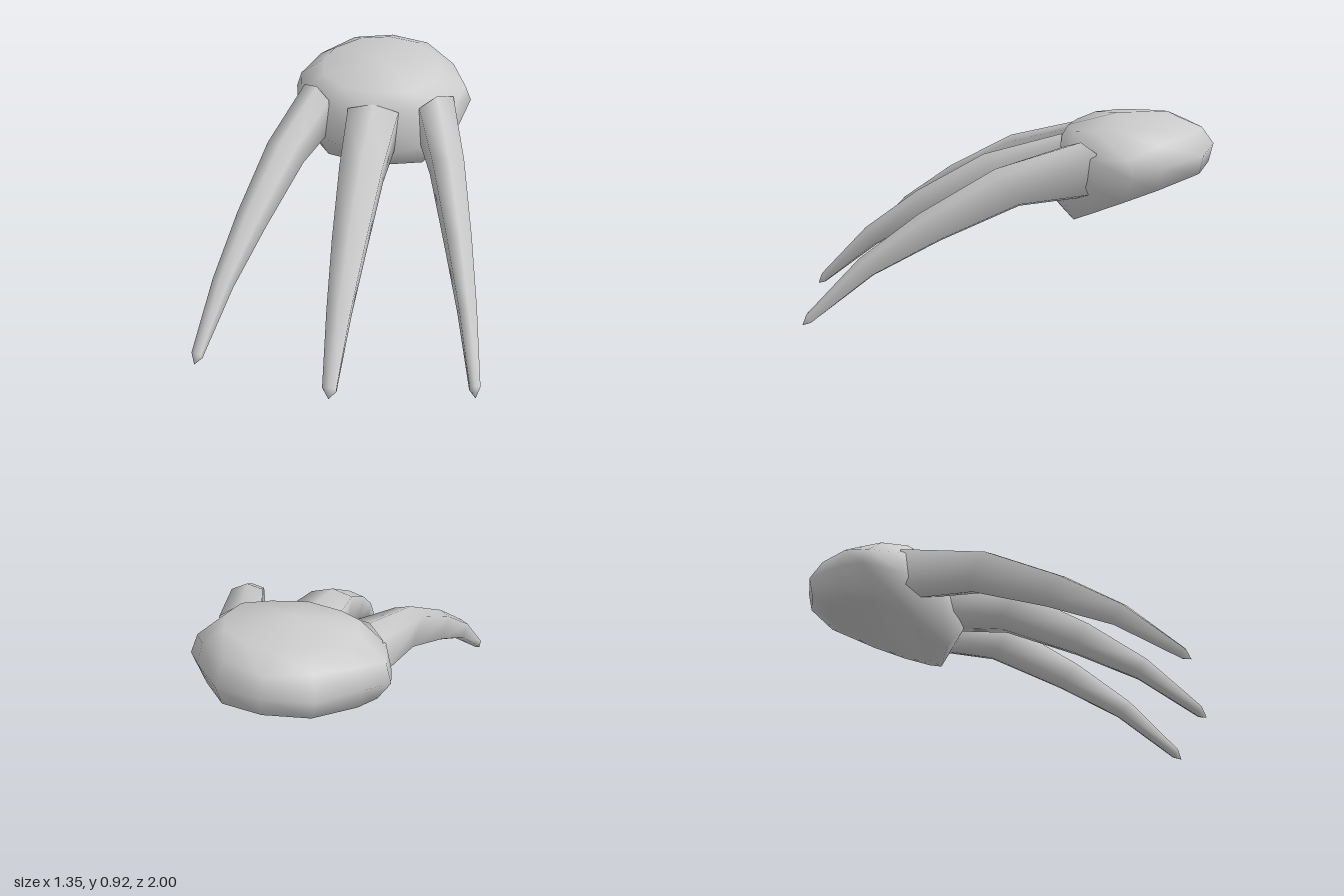
import * as THREE from 'three';

const material = new THREE.MeshStandardMaterial({ color: 0xcccccc, side: THREE.DoubleSide });

// Skin closed rings of [x, y, z] points, with optional fan caps at either end.
function loft(rings, start, end) {
  const n = rings[0].length;
  const points = rings.flat();
  const index = [];
  for (let i = 0; i < rings.length - 1; i++) {
    for (let j = 0; j < n; j++) {
      const a = i * n + j, b = i * n + (j + 1) % n;
      index.push(a, b, a + n, b, b + n, a + n);
    }
  }
  if (start) {
    const c = points.push(start) - 1;
    for (let j = 0; j < n; j++) index.push(c, (j + 1) % n, j);
  }
  if (end) {
    const c = points.push(end) - 1, o = (rings.length - 1) * n;
    for (let j = 0; j < n; j++) index.push(o + j, o + (j + 1) % n, c);
  }
  const geometry = new THREE.BufferGeometry();
  geometry.setAttribute('position', new THREE.Float32BufferAttribute(points.flat(), 3));
  geometry.setIndex(index);
  geometry.computeVertexNormals();
  return geometry;
}

// Complete a half ring (back to front along +x) with its mirror image.
const mirrorRing = (half) => [...half, ...half.slice(1, -1).reverse().map(([x, y, z]) => [-x, y, z])];

function createPalm() {
  const crown = [[0, 0.91, -0.82], [0.15, 0.91, -0.78], [0.27, 0.895, -0.68], [0.31, 0.89, -0.55],
    [0.28, 0.88, -0.42], [0.17, 0.86, -0.33], [0, 0.86, -0.29]];
  const shoulder = [[0, 0.86, -0.94], [0.2, 0.86, -0.88], [0.36, 0.83, -0.72], [0.44, 0.78, -0.58],
    [0.4, 0.77, -0.41], [0.23, 0.76, -0.28], [0, 0.74, -0.22]];
  const middle = [[0, 0.78, -1], [0.22, 0.76, -0.935], [0.38, 0.73, -0.74], [0.47, 0.69, -0.6],
    [0.43, 0.65, -0.42], [0.25, 0.59, -0.25], [0, 0.55, -0.17]];
  const rim = [[0, 0.69, -0.98], [0.2, 0.67, -0.92], [0.35, 0.62, -0.72], [0.4, 0.57, -0.56],
    [0.35, 0.5, -0.41], [0.25, 0.445, -0.33], [0, 0.445, -0.26]];
  // Shallow dish underneath
  const dish = [0, 0.61, -0.61];
  const inner = [0.2, 0.6].map((t) => rim.map(([x, y, z]) => [
    x * (1 - t), y + (dish[1] - y) * t + (t < 0.5 ? -0.015 : 0), z + (dish[2] - z) * t]));
  const rings = [crown, shoulder, middle, rim, ...inner].map(mirrorRing);
  const palm = new THREE.Mesh(loft(rings, [0, 0.925, -0.53], dish), material);
  palm.name = 'palm';
  return palm;
}

// Hexagonal tapering finger; skew slants the base to follow the palm.
function createFinger(name, widthScale, skew) {
  // top z, top y, bottom z, bottom y, half width
  const stations = [
    [0, 0.815, 0, 0.55, 0.13],
    [0.39, 0.705, 0.28, 0.525, 0.105],
    [0.73, 0.51, 0.64, 0.375, 0.08],
    [1.0, 0.31, 0.94, 0.225, 0.056],
    [1.24, 0.055, 1.22, 0.013, 0.033],
  ];
  const section = [[0, 1], [-1, 0.87], [-0.94, 0.14], [0, 0], [0.94, 0.14], [1, 0.87]];
  const rings = stations.map(([tz, ty, bz, by, w], i) => section.map(([u, v]) => {
    const x = u * w * widthScale;
    return [x, by + (ty - by) * v, bz + (tz - bz) * v + (i === 0 ? skew * x : 0)];
  }));
  const finger = new THREE.Mesh(loft(rings, null, [0, 0.002, 1.26]), material);
  finger.name = name;
  return finger;
}

export function createModel() {
  const model = new THREE.Group();
  model.name = 'claw';
  model.add(createPalm());

  const middle = createFinger('middleFinger', 1, 0);
  middle.position.z = -0.26;
  model.add(middle);

  // Splayed outer fingers
  for (const side of [1, -1]) {
    const finger = createFinger(side > 0 ? 'leftFinger' : 'rightFinger', 0.74, -0.5 * side);
    finger.position.set(0.31 * side, 0.018, -0.36);
    finger.rotation.y = 0.27 * side;
    finger.scale.z = 1.04;
    model.add(finger);
  }
  return model;
}
